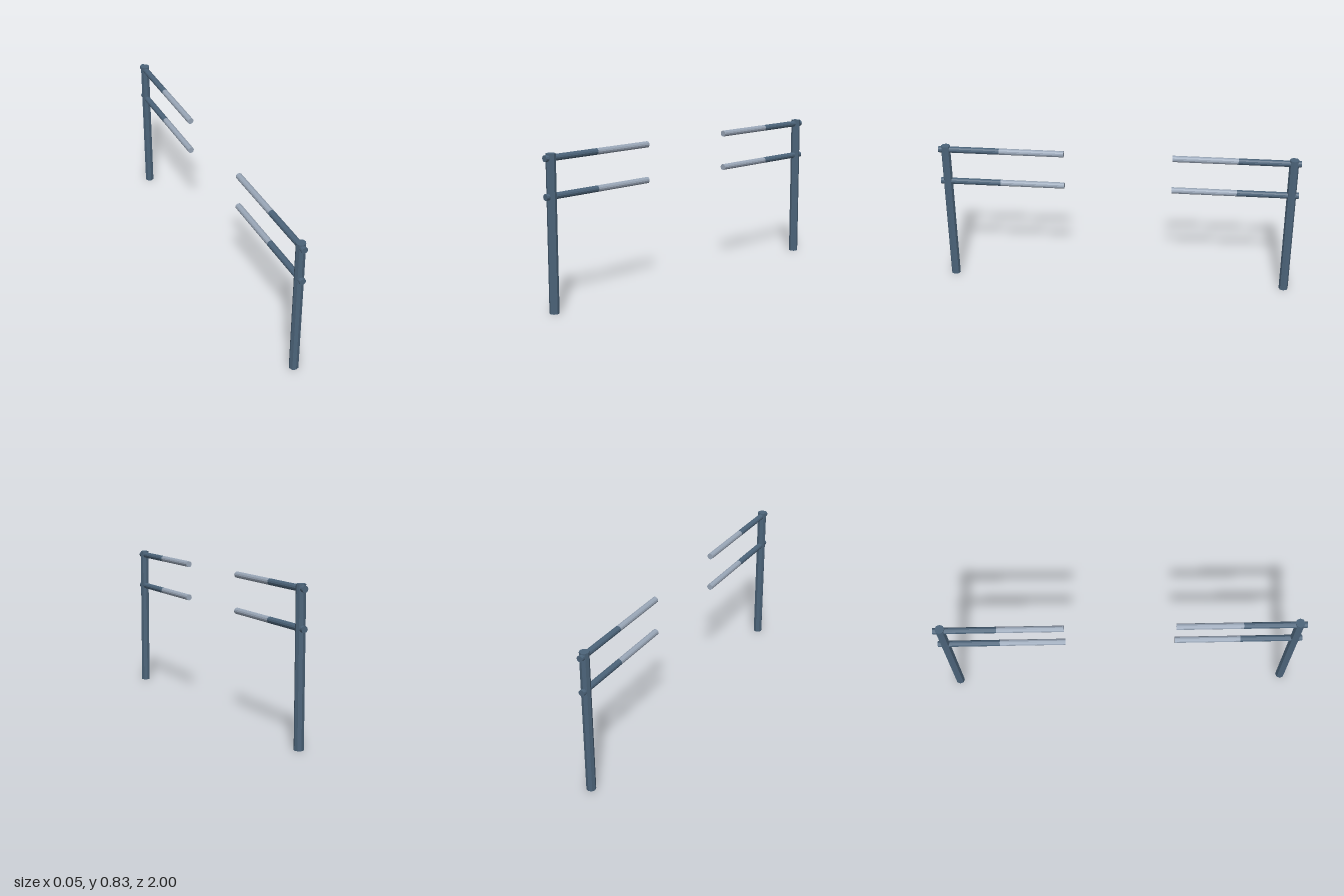
import * as THREE from 'three';

export function createModel() {
  const model = new THREE.Group();
  model.name = 'railGate';

  const steel = new THREE.MeshStandardMaterial({ color: 0x4c647a, flatShading: true });
  steel.name = 'slate blue';
  const pale = new THREE.MeshStandardMaterial({ color: 0x9aa7b8, flatShading: true });
  pale.name = 'pale grey';

  // Horizontal bar along z between two depths
  function bar(name, y, z0, z1, material) {
    const geometry = new THREE.CylinderGeometry(0.0175, 0.0175, z1 - z0, 12);
    geometry.rotateX(Math.PI / 2);
    const mesh = new THREE.Mesh(geometry, material);
    mesh.name = name;
    mesh.position.set(0, y, (z0 + z1) / 2);
    return mesh;
  }

  // One octagonal post with two rails reaching towards the centre
  function side(name) {
    const group = new THREE.Group();
    group.name = name;
    const post = new THREE.Mesh(new THREE.CylinderGeometry(0.026, 0.026, 0.83, 8), steel);
    post.name = 'post';
    post.position.set(0, 0.415, 0.96);
    group.add(post);
    for (const [label, y] of [['upper', 0.807], ['lower', 0.611]]) {
      group.add(bar(label + 'Rail', y, 0.66, 1, steel));
      group.add(bar(label + 'RailTip', y, 0.3, 0.66, pale));
    }
    return group;
  }

  const front = side('frontSide');
  const back = side('backSide');
  back.rotation.y = Math.PI;
  model.add(front, back);
  return model;
}
